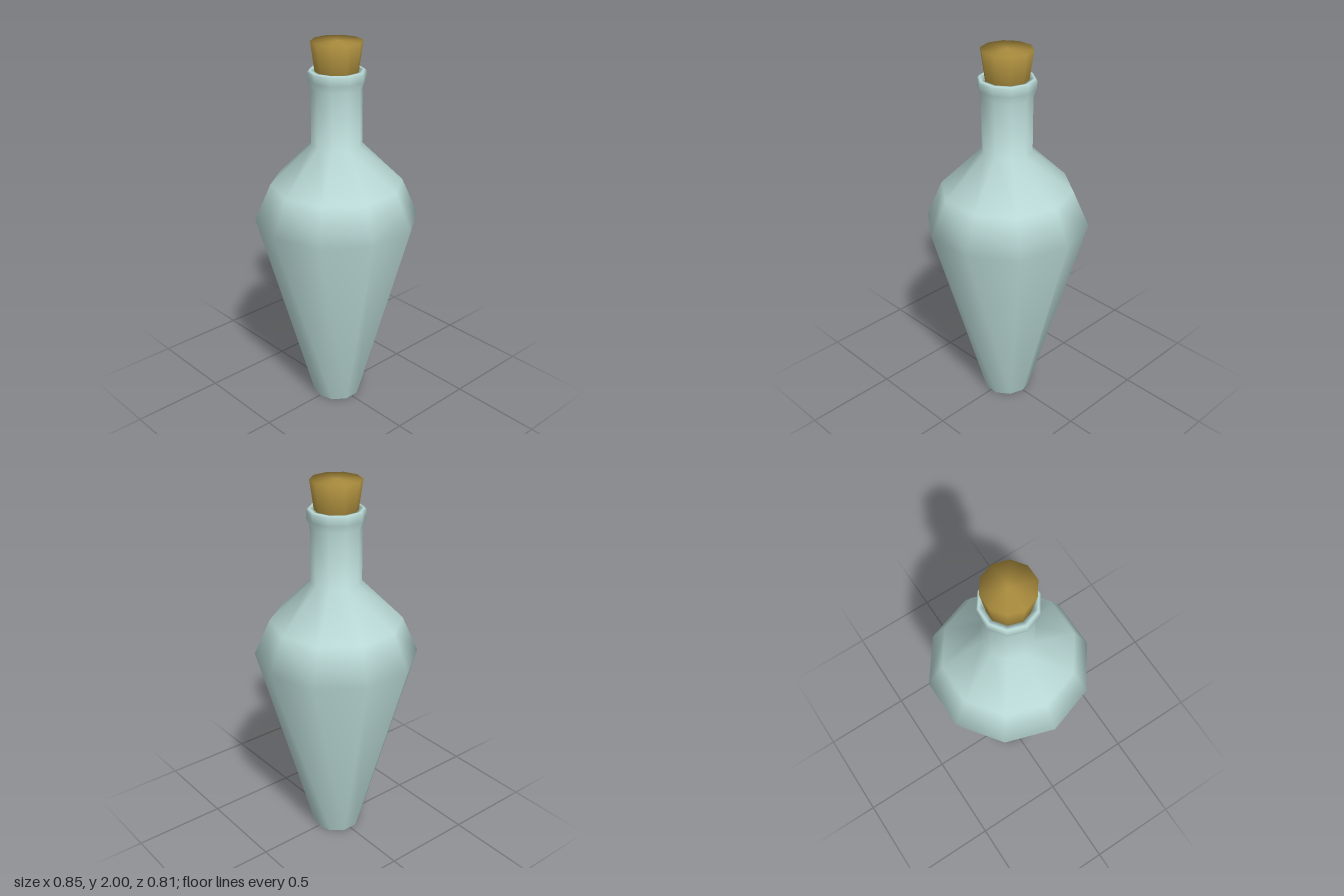
import * as THREE from 'three';

const SIDES = 10;

// Smooth-shaded ten-sided turning with a corner on the x axis
function turned(name, profile, material) {
  const points = profile.map(([r, y]) => new THREE.Vector2(r, y));
  const mesh = new THREE.Mesh(new THREE.LatheGeometry(points, SIDES, Math.PI / 2), material);
  mesh.name = name;
  return mesh;
}

export function createModel() {
  const glass = new THREE.MeshStandardMaterial({ color: 0xbbdbd8 });
  glass.name = 'pale glass';
  const corkBrown = new THREE.MeshStandardMaterial({ color: 0xab8d3e });
  corkBrown.name = 'cork brown';

  const group = new THREE.Group();
  group.name = 'corkedBottle';

  // Bottle: hollowed base, tapered body, shoulder, neck, lip and inner neck
  group.add(turned('bottle', [
    [0, 0.04], [0.09, 0.035], [0.13, 0],
    [0.427, 1.08], [0.343, 1.27], [0.13, 1.48],
    [0.13, 1.77], [0.147, 1.81], [0.147, 1.85], [0.138, 1.86],
    [0.115, 1.855], [0.11, 1.74],
  ], glass));

  // Tapered stopper
  group.add(turned('cork', [
    [0, 1.76], [0.097, 1.76], [0.13, 2], [0, 2],
  ], corkBrown));

  return group;
}
